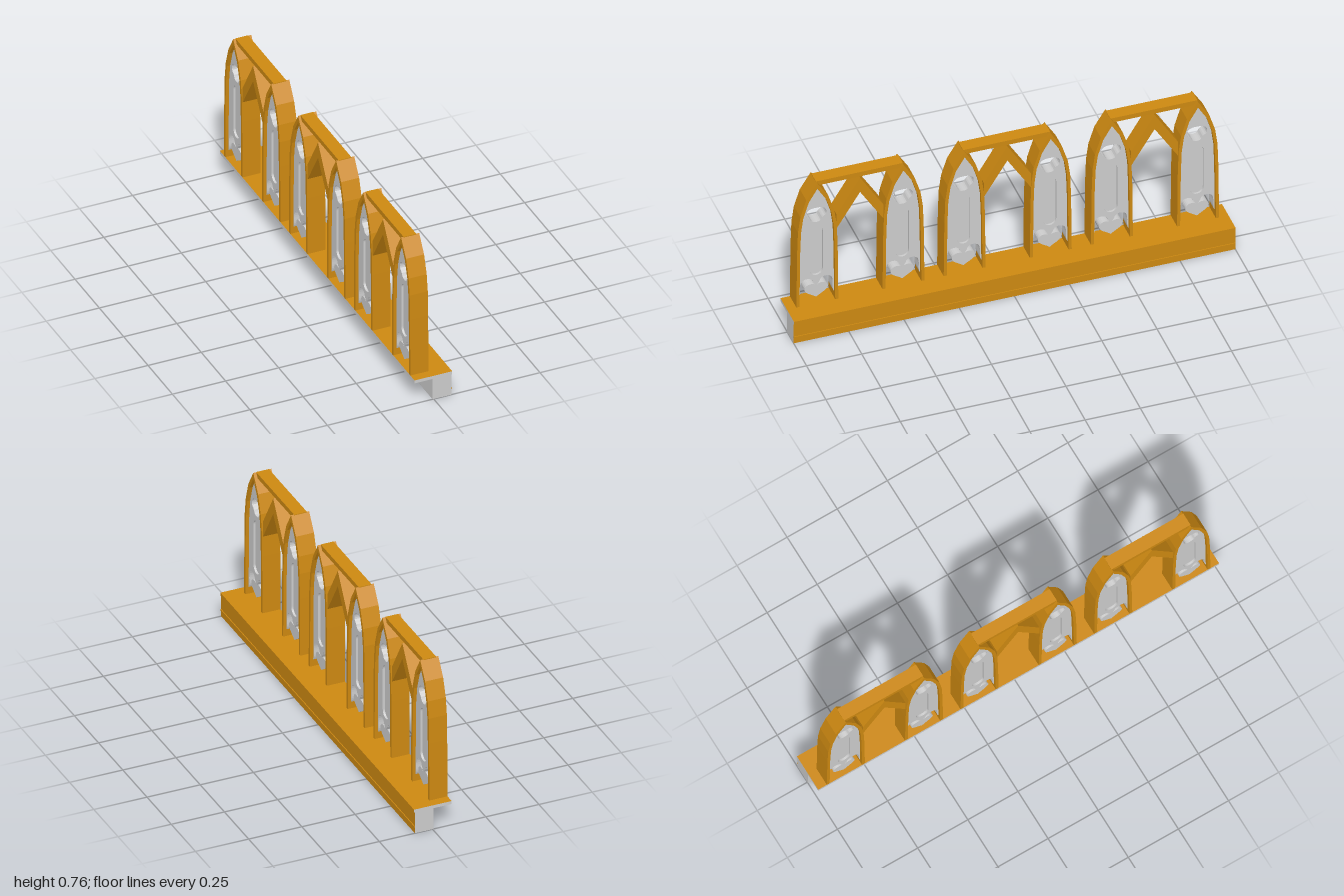
import * as THREE from 'three';

const orange = new THREE.MeshStandardMaterial({ color: 0xcc8811 });
const grey = new THREE.MeshStandardMaterial({ color: 0xcccccc });

// half outline [half width, height] of the pointed arch, foot to apex
const OUTER = [[0.095, 0.117], [0.092, 0.4], [0.088, 0.52], [0.077, 0.6], [0.05, 0.685], [0, 0.765]];
const INNER = [[0.081, 0.117], [0.078, 0.4], [0.074, 0.515], [0.064, 0.59], [0.039, 0.67], [0, 0.735]];

const vec = ([x, y]) => new THREE.Vector2(x, y);
const mirrored = (half) => [...half, ...half.filter((p) => p[0] !== 0).reverse().map(([x, y]) => [-x, y])];

// closed smooth outline through a few points, mirrored about the centre line
function smoothOutline(half, count = 32) {
  const pts = mirrored(half).map(([x, y]) => new THREE.Vector3(x, y, 0));
  return new THREE.CatmullRomCurve3(pts, true, 'centripetal')
    .getPoints(count).slice(0, -1).map((p) => new THREE.Vector2(p.x, p.y));
}

// extrudes a profile drawn in the z-y plane from x0 to x1
function slab(name, shape, x0, x1, material) {
  const geo = new THREE.ExtrudeGeometry(shape, { depth: x1 - x0, bevelEnabled: false, curveSegments: 8 });
  geo.rotateY(Math.PI / 2).translate(x0, 0, 0);
  const mesh = new THREE.Mesh(geo, material);
  mesh.name = name;
  return mesh;
}

function box(name, [x0, x1], [y0, y1], [z0, z1], material) {
  const mesh = new THREE.Mesh(new THREE.BoxGeometry(x1 - x0, y1 - y0, z1 - z0), material);
  mesh.position.set((x0 + x1) / 2, (y0 + y1) / 2, (z0 + z1) / 2);
  mesh.name = name;
  return mesh;
}

// panel outline with a two-lobed opening at its foot
function panelShape(withRecess) {
  const s = new THREE.Shape();
  s.moveTo(0.081, 0.15);
  INNER.slice(1).forEach(([x, y]) => s.lineTo(x, y));
  INNER.slice(1, -1).reverse().forEach(([x, y]) => s.lineTo(-x, y));
  s.lineTo(-0.081, 0.15);
  s.bezierCurveTo(-0.066, 0.18, -0.082, 0.2, -0.069, 0.235);
  s.bezierCurveTo(-0.055, 0.252, -0.02, 0.252, -0.015, 0.225);
  s.lineTo(0, 0.2);
  s.lineTo(0.015, 0.225);
  s.bezierCurveTo(0.02, 0.252, 0.055, 0.252, 0.069, 0.235);
  s.bezierCurveTo(0.082, 0.2, 0.066, 0.18, 0.081, 0.15);

  // rounded opening near the head
  s.holes.push(new THREE.Path(smoothOutline(
    [[0, 0.545], [0.018, 0.55], [0.028, 0.566], [0.044, 0.58], [0.045, 0.602], [0.03, 0.618], [0, 0.622]])));

  // long round-ended sunk field
  if (withRecess) {
    const p = new THREE.Path();
    p.absarc(0, 0.49, 0.03, 0, Math.PI, false);
    p.absarc(0, 0.29, 0.03, Math.PI, Math.PI * 2, false);
    p.closePath();
    s.holes.push(p);
  }
  return s;
}

function arch() {
  const g = new THREE.Group();
  g.name = 'archedWindow';

  // frame: outer outline up and over, inner outline back
  const frame = new THREE.Shape([...mirrored(OUTER), ...mirrored(INNER).reverse()].map(vec));
  g.add(slab('archFrame', frame, -0.09, -0.005, orange));

  // panel: core with a sunk-field layer on both faces
  g.add(slab('panelCore', panelShape(false), -0.065, -0.03, grey));
  g.add(slab('panelFace', panelShape(true), -0.03, -0.02, grey));
  g.add(slab('panelBack', panelShape(true), -0.075, -0.065, grey));

  // heart hanging in the lower opening
  const heart = new THREE.Shape();
  heart.moveTo(0, 0.142);
  heart.bezierCurveTo(0.02, 0.16, 0.06, 0.17, 0.052, 0.197);
  heart.bezierCurveTo(0.045, 0.217, 0.015, 0.222, 0, 0.203);
  heart.bezierCurveTo(-0.015, 0.222, -0.045, 0.217, -0.052, 0.197);
  heart.bezierCurveTo(-0.06, 0.17, -0.02, 0.16, 0, 0.142);
  g.add(slab('heart', heart, -0.075, -0.02, grey));
  return g;
}

function bay() {
  const g = new THREE.Group();
  g.name = 'bay';
  for (const side of [1, -1]) {
    const a = arch();
    a.position.z = side * 0.195;
    g.add(a);
  }
  // inverted V brace between the two arches
  const brace = new THREE.Shape([
    [-0.106, 0.495], [0, 0.665], [0.106, 0.495], [0.106, 0.57], [0, 0.742], [-0.106, 0.57],
  ].map(vec));
  g.add(slab('brace', brace, -0.086, -0.01, orange));
  g.add(box('topBar', [-0.079, -0.019], [0.742, 0.765], [-0.197, 0.197], orange));
  return g;
}

export function createModel() {
  const model = new THREE.Group();
  model.name = 'arcade';

  // sill: coloured on the top and outer side, grey elsewhere
  const base = new THREE.Group();
  base.name = 'base';
  const z = [-1, 1];
  base.add(box('beam', [-0.005, 0.083], [0, 0.104], z, [orange, grey, grey, grey, grey, grey]));
  base.add(box('ledge', [-0.09, 0.087], [0.103, 0.118], z, [orange, grey, orange, grey, grey, grey]));
  base.add(box('bead', [0.08, 0.087], [0.028, 0.036], z, orange));
  model.add(base);

  for (const i of [-1, 0, 1]) {
    const b = bay();
    b.position.z = i * 0.667;
    model.add(b);
  }
  return model;
}
